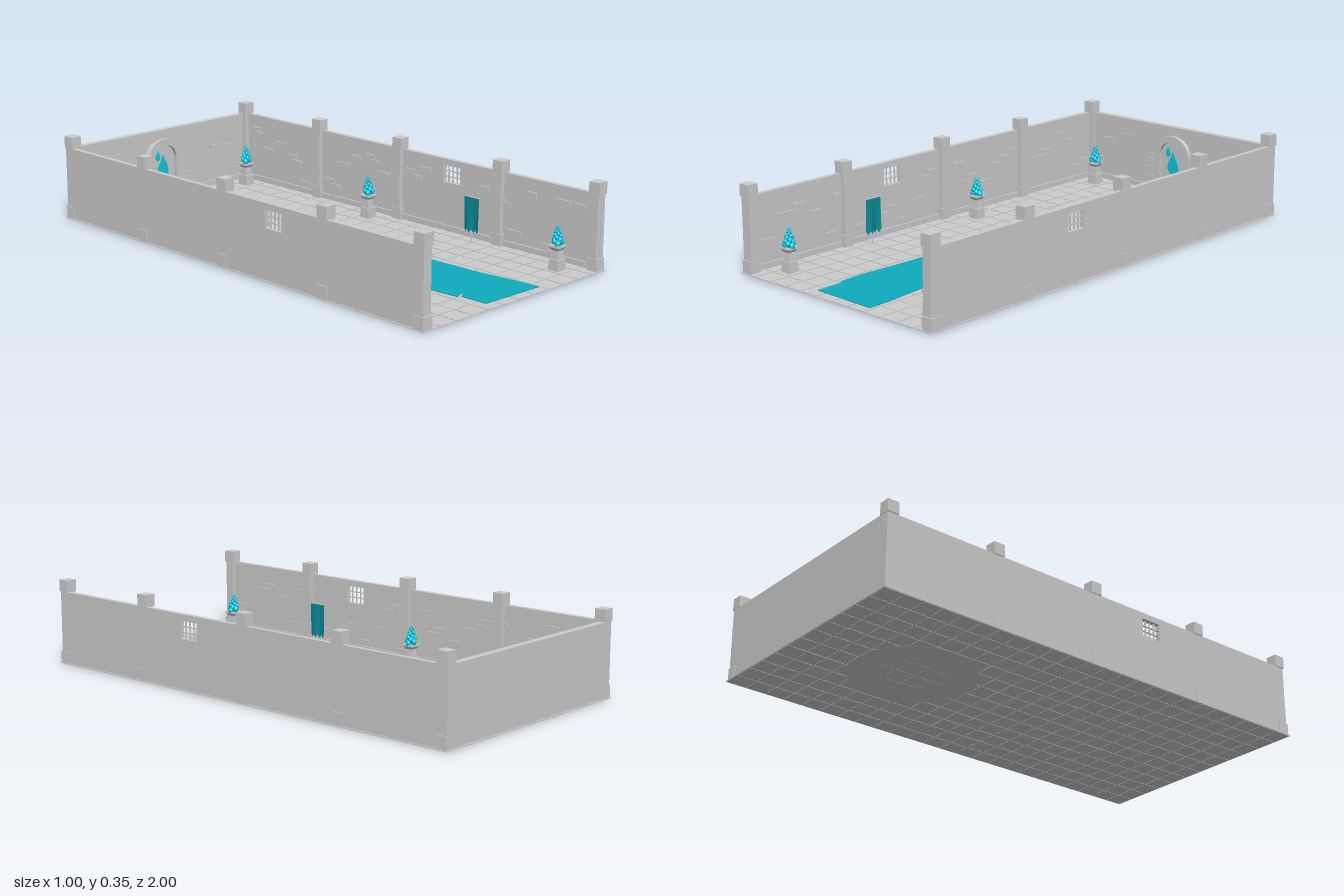
import * as THREE from 'three';
import { mergeGeometries } from 'three/addons/utils/BufferGeometryUtils.js';

const mat = (color, side = THREE.FrontSide) => new THREE.MeshStandardMaterial({ color, side, flatShading: true });
const stone = mat(0xcccccc);
const cyan = mat(0x12c8de);
const cloth = mat(0x0fabbf, THREE.DoubleSide);
const darkCloth = mat(0x0b8c99, THREE.DoubleSide);
const smoothStone = new THREE.MeshStandardMaterial({ color: 0xcccccc, side: THREE.DoubleSide });

let seed = 7;
const rand = () => (seed = (seed * 16807) % 2147483647) / 2147483647;

function add(parent, name, geo, material, x = 0, y = 0, z = 0) {
  const m = new THREE.Mesh(geo, material);
  m.name = name;
  m.position.set(x, y, z);
  parent.add(m);
  return m;
}

// Box given by its limits on each axis
const span = (x0, x1, y0, y1, z0, z1) =>
  new THREE.BoxGeometry(x1 - x0, y1 - y0, z1 - z0).translate((x0 + x1) / 2, (y0 + y1) / 2, (z0 + z1) / 2);

const extrude = (shape, depth, curveSegments = 8) =>
  new THREE.ExtrudeGeometry(shape, { depth, bevelEnabled: false, curveSegments });

const polygon = pts => new THREE.Shape(pts.map(p => new THREE.Vector2(...p)));

// Pointed drop, widest below the middle
function dropShape(w, h) {
  const s = new THREE.Shape();
  s.moveTo(0, h / 2);
  s.bezierCurveTo(w * 0.12, h * 0.25, w * 0.5, h * 0.08, w * 0.5, -h * 0.15);
  s.bezierCurveTo(w * 0.5, -h * 0.32, w * 0.25, -h * 0.45, 0, -h / 2);
  s.bezierCurveTo(-w * 0.25, -h * 0.45, -w * 0.5, -h * 0.32, -w * 0.5, -h * 0.15);
  s.bezierCurveTo(-w * 0.5, h * 0.08, -w * 0.12, h * 0.25, 0, h / 2);
  return s;
}

function floor(root) {
  add(root, 'floorBed', span(-0.5, 0.5, 0.003, 0.005, -1, 1), stone);
  const tiles = [], nx = 12, nz = 24, sx = 1 / nx, sz = 2 / nz;
  for (let i = 0; i < nx; i++) for (let j = 0; j < nz; j++) {
    const top = 0.0068 + rand() * 0.001, x = -0.5 + i * sx, z = -1 + j * sz;
    tiles.push(span(x + 0.003, x + sx - 0.003, 0.0015, top, z + 0.003, z + sz - 0.003));
  }
  add(root, 'floorTiles', mergeGeometries(tiles), stone);
}

function sideWall(root, s) {
  const g = new THREE.Group();
  g.name = s > 0 ? 'leftWall' : 'rightWall';
  root.add(g);
  // Wall with a window opening, drawn in z and y
  const shape = polygon([[-0.99, 0.005], [0.99, 0.005], [0.99, 0.3], [-0.99, 0.3]]);
  shape.holes.push(new THREE.Path([[0.207, 0.205], [0.207, 0.275], [0.295, 0.275], [0.295, 0.205]].map(p => new THREE.Vector2(...p))));
  add(g, 'wall', extrude(shape, 0.02).rotateY(-Math.PI / 2), stone, s > 0 ? 0.492 : -0.472);
  const bars = [];
  for (let i = 1; i < 4; i++) {
    const z = 0.207 + i * 0.022;
    bars.push(span(-0.003, 0.003, 0.205, 0.275, z - 0.002, z + 0.002));
  }
  for (let i = 1; i < 3; i++) {
    const y = 0.205 + i * 0.0233;
    bars.push(span(-0.003, 0.003, y - 0.002, y + 0.002, 0.207, 0.295));
  }
  add(g, 'windowBars', mergeGeometries(bars), stone, s * 0.482);
  add(g, 'skirting', new THREE.BoxGeometry(0.008, 0.025, 1.96), stone, s * 0.469, 0.0175, 0);
  add(g, 'topTrim', new THREE.BoxGeometry(0.005, 0.05, 1.96), stone, s * 0.4705, 0.275, 0).visible = false;
  // Posts with square bases and caps
  for (const z of [0.97, 0.505, -0.03, -0.5, -0.97]) {
    add(g, 'postBase', new THREE.BoxGeometry(0.046, 0.05, 0.048), stone, s * 0.473, 0.03, z);
    add(g, 'postShaft', new THREE.BoxGeometry(0.036, 0.25, 0.036), stone, s * 0.47, 0.18, z);
    add(g, 'postCap', new THREE.BoxGeometry(0.046, 0.048, 0.048), stone, s * 0.473, 0.324, z);
  }
  // Scattered raised bricks
  const bricks = [];
  for (let i = 0; i < 24; i++) {
    const z = -0.9 + i * 0.078, y = 0.05 + Math.floor(rand() * 10) * 0.021, w = 0.05 + rand() * 0.02;
    if (y > 0.17 && z > 0.13 && z < 0.37) continue;
    bricks.push(new THREE.BoxGeometry(0.008, 0.018, w).translate(s * 0.47, y, z));
    if (i % 3 === 0) bricks.push(new THREE.BoxGeometry(0.008, 0.018, w).translate(s * 0.47, y - 0.021, z + 0.03));
  }
  add(g, 'raisedBricks', mergeGeometries(bricks), stone);
}

function backWall(root) {
  const g = new THREE.Group();
  g.name = 'backWall';
  root.add(g);
  add(g, 'wall', span(-0.492, 0.492, 0.005, 0.3, -0.992, -0.972), stone);
  add(g, 'topBand', span(-0.47, 0.47, 0.25, 0.3, -0.975, -0.965), stone);
  add(g, 'skirting', span(-0.47, 0.47, 0.005, 0.03, -0.975, -0.965), stone);
  const bricks = [[-0.37, 0.19], [-0.262, 0.222], [-0.125, 0.157], [-0.11, 0.135], [-0.13, 0.1], [-0.13, 0.058],
    [0.112, 0.065], [0.1, 0.09], [0.29, 0.178], [0.36, 0.17], [-0.43, 0.1], [0.4, 0.06]];
  add(g, 'raisedBricks', mergeGeometries(bricks.map(([x, y]) =>
    new THREE.BoxGeometry(0.054, 0.02, 0.008).translate(x, y, -0.97))), stone);

  // Arched niche with drop emblem
  const arch = new THREE.Group();
  arch.name = 'archNiche';
  arch.position.set(-0.01, 0, -0.972);
  g.add(arch);
  const outline = (S, r) => {
    const s = new S();
    s.moveTo(-r, 0.006);
    s.lineTo(-r, 0.173);
    s.absarc(0, 0.173, r, Math.PI, 0, true);
    s.lineTo(r, 0.006);
    return s;
  };
  const frame = outline(THREE.Shape, 0.09);
  const inner = outline(THREE.Path, 0.064);
  frame.lineTo(0.064, 0.006);
  frame.lineTo(0.064, 0.173);
  frame.absarc(0, 0.173, 0.064, 0, Math.PI, false);
  frame.lineTo(-0.064, 0.006);
  add(arch, 'archFrame', extrude(frame, 0.022, 7), stone);
  add(arch, 'archPanel', extrude(new THREE.Shape(inner.getPoints(7)), 0.006), stone);
  for (const s of [-1, 1])
    add(arch, 'archBase', new THREE.BoxGeometry(0.038, 0.038, 0.03), stone, s * 0.078, 0.025, 0.015);
  for (const [x, y, w, h] of [[0, 0.14, 0.055, 0.105], [-0.027, 0.19, 0.022, 0.044], [0.025, 0.098, 0.013, 0.025]])
    add(arch, 'drop', extrude(dropShape(w, h), 0.006, 5), cyan, x, y, 0.005);
}

function dais(root) {
  const g = new THREE.Group();
  g.name = 'dais';
  g.position.z = -0.505;
  root.add(g);
  const profile = [[0, 0.0025], [0.12, 0.002], [0.2, 0.001], [0.245, 0], [0.248, 0.006], [0.232, 0.012], [0.215, 0.0135], [0, 0.0135]];
  add(g, 'platform', new THREE.LatheGeometry(profile.map(p => new THREE.Vector2(...p)), 40), smoothStone);
  const dome = [[0.12, 0.012], [0.117, 0.016], [0.07, 0.018], [0, 0.019]];
  add(g, 'centreStone', new THREE.LatheGeometry(dome.map(p => new THREE.Vector2(...p)), 40), smoothStone);
  for (let i = 0; i < 4; i++) {
    const a = i * Math.PI / 2;
    add(g, 'gem', new THREE.OctahedronGeometry(0.018).scale(1, 0.25, 1), cyan, 0.185 * Math.cos(a), 0.0135, 0.19 * Math.sin(a));
  }
  // Flame emblem lying on the centre stone
  for (const [x, z, h, a] of [[-0.02, -0.01, 0.1, 0.15], [-0.003, 0.01, 0.1, 0.2], [0.014, 0.015, 0.075, 0.1], [0.024, -0.01, 0.045, -0.2]])
    add(g, 'flameEmblem', extrude(dropShape(0.022, h), 0.004, 4).rotateX(-Math.PI / 2).rotateY(a), cyan, x, 0.017, z);
}

function carpet(root) {
  const shape = polygon([[-0.125, -0.205], [0.137, -0.205], [0.136, 0], [0.128, 0.2], [0.125, 0.245], [0.098, 0.262], [0.124, 0.272],
    [0.128, 0.5], [0.134, 0.7], [0.152, 0.85], [0.157, 0.96], [-0.125, 0.953], [-0.127, 0.84], [-0.08, 0.808], [-0.14, 0.83],
    [-0.148, 0.72], [-0.138, 0.55], [-0.13, 0.25]]);
  add(root, 'carpet', extrude(shape, 0.003).rotateX(Math.PI / 2), cloth, 0, 0.011, 0);
}

function brazier(root, x, z) {
  const g = new THREE.Group();
  g.name = 'brazier';
  g.position.set(x, 0, z);
  root.add(g);
  const block = (name, y, h, wTop, wBottom) =>
    add(g, name, new THREE.CylinderGeometry(wTop * Math.SQRT1_2, wBottom * Math.SQRT1_2, h, 4).rotateY(Math.PI / 4), stone, 0, y, 0);
  block('foot', 0.028, 0.044, 0.044, 0.046);
  block('shaft', 0.069, 0.04, 0.028, 0.034);
  block('bowl', 0.091, 0.012, 0.046, 0.032);
  block('rim', 0.1, 0.007, 0.05, 0.05);
  // Cluster of bubbles rising to small tips
  const blobs = [];
  for (let i = 0; i < 24; i++) {
    const t = i / 23, a = i * 2.4, r = 0.016 * (1 - t * 0.65);
    const size = 0.009 * (1 - t) + 0.003;
    blobs.push(new THREE.IcosahedronGeometry(size, 1).scale(1, 1.25, 1)
      .translate(Math.cos(a) * r, 0.108 + t * 0.066, Math.sin(a) * r));
  }
  add(g, 'flame', mergeGeometries(blobs), cyan);
}

function banner(root, s) {
  const g = new THREE.Group();
  g.name = 'banner';
  g.position.set(s * 0.414, 0, 0.41);
  root.add(g);
  add(g, 'pole', new THREE.CylinderGeometry(0.002, 0.002, 0.2, 6), stone, s * 0.004, 0.106, 0);
  add(g, 'crossbar', new THREE.CylinderGeometry(0.002, 0.002, 0.088, 6).rotateX(Math.PI / 2), stone, 0, 0.19, 0);
  // Rippled cloth with a ragged lower edge
  const geo = new THREE.PlaneGeometry(0.076, 0.13, 8, 8).rotateY(Math.PI / 2);
  const p = geo.attributes.position;
  for (let i = 0; i < p.count; i++) {
    const y = p.getY(i), z = p.getZ(i), down = (0.065 - y) / 0.13;
    p.setX(i, Math.sin(z * 110) * 0.004 * down);
    p.setY(i, y - down * (Math.round((z + 0.038) / 0.0095) % 2) * 0.014);
  }
  geo.computeVertexNormals();
  add(g, 'cloth', geo, darkCloth, -s * 0.001, 0.125, 0);
}

export function createModel() {
  const root = new THREE.Group();
  root.name = 'templeHall';
  floor(root);
  backWall(root);
  dais(root);
  carpet(root);
  for (const s of [-1, 1]) {
    sideWall(root, s);
    banner(root, s);
  }
  for (const [x, z] of [[-0.375, -0.88], [0.39, -0.88], [-0.375, -0.13], [0.39, -0.13], [-0.375, 0.87], [0.372, 0.87]])
    brazier(root, x, z);
  return root;
}
